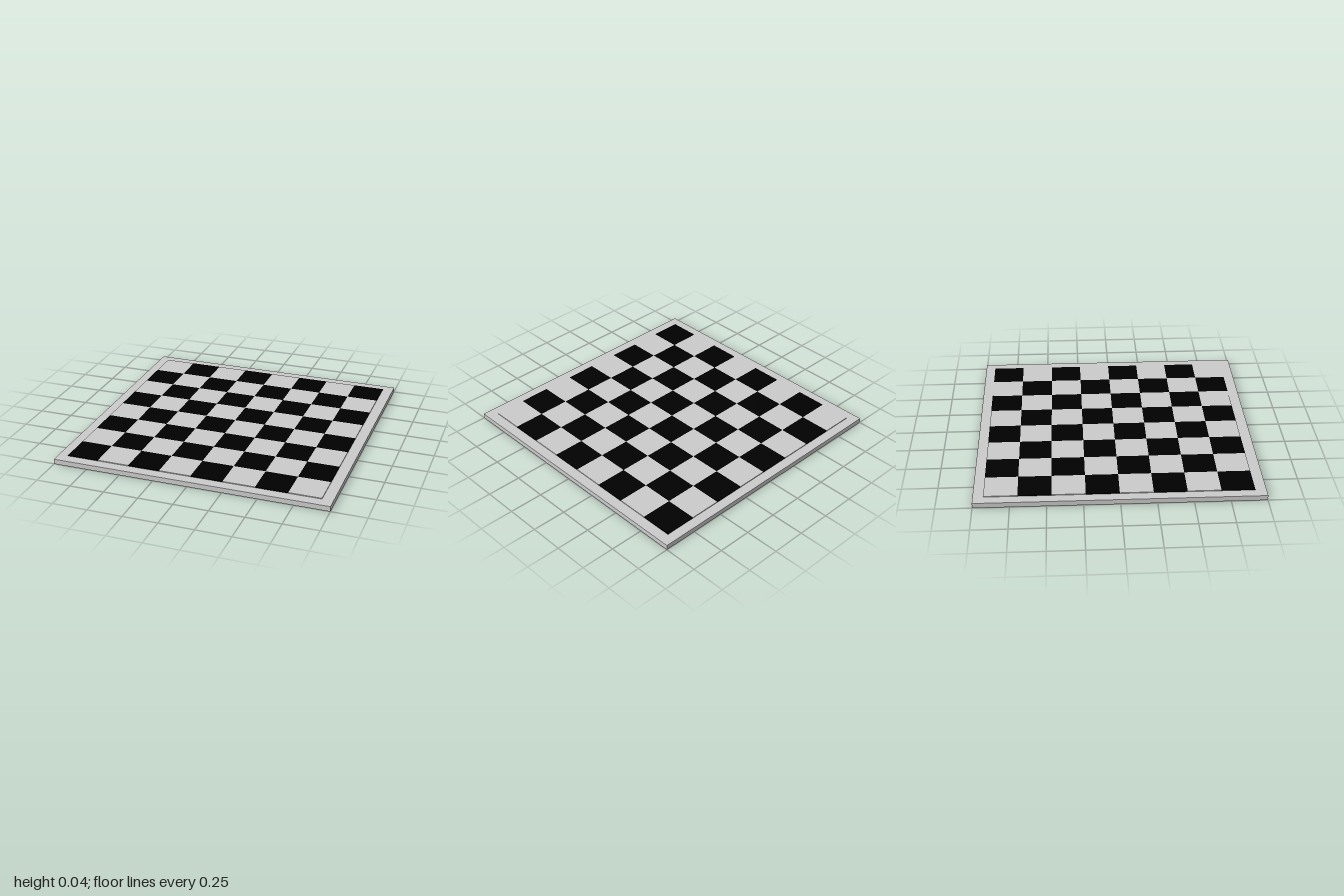
import * as THREE from 'three';

export function createModel() {
  const group = new THREE.Group();
  const light = new THREE.MeshStandardMaterial({ color: 0xcccccc });
  const dark = new THREE.MeshStandardMaterial({ color: 0x000000 });

  // Base slab
  const baseHeight = 0.037;
  const base = new THREE.Mesh(new THREE.BoxGeometry(2, baseHeight, 2), light);
  base.name = 'boardBase';
  base.position.y = baseHeight / 2;
  group.add(base);

  // Slightly raised 8 x 8 tiles, light and dark in turn
  const count = 8, size = 0.2313, start = -0.928, tileHeight = 0.006;
  const tileGeometry = new THREE.BoxGeometry(size, tileHeight, size);
  const lightTiles = new THREE.Group();
  const darkTiles = new THREE.Group();
  lightTiles.name = 'lightSquares';
  darkTiles.name = 'darkSquares';
  for (let row = 0; row < count; row++) {
    for (let col = 0; col < count; col++) {
      const isDark = (row + col) % 2 === 1;
      const tile = new THREE.Mesh(tileGeometry, isDark ? dark : light);
      tile.name = isDark ? 'darkSquare' : 'lightSquare';
      tile.position.set(
        start + (col + 0.5) * size,
        baseHeight + tileHeight / 2,
        start + (row + 0.5) * size
      );
      (isDark ? darkTiles : lightTiles).add(tile);
    }
  }
  group.add(lightTiles, darkTiles);
  return group;
}
